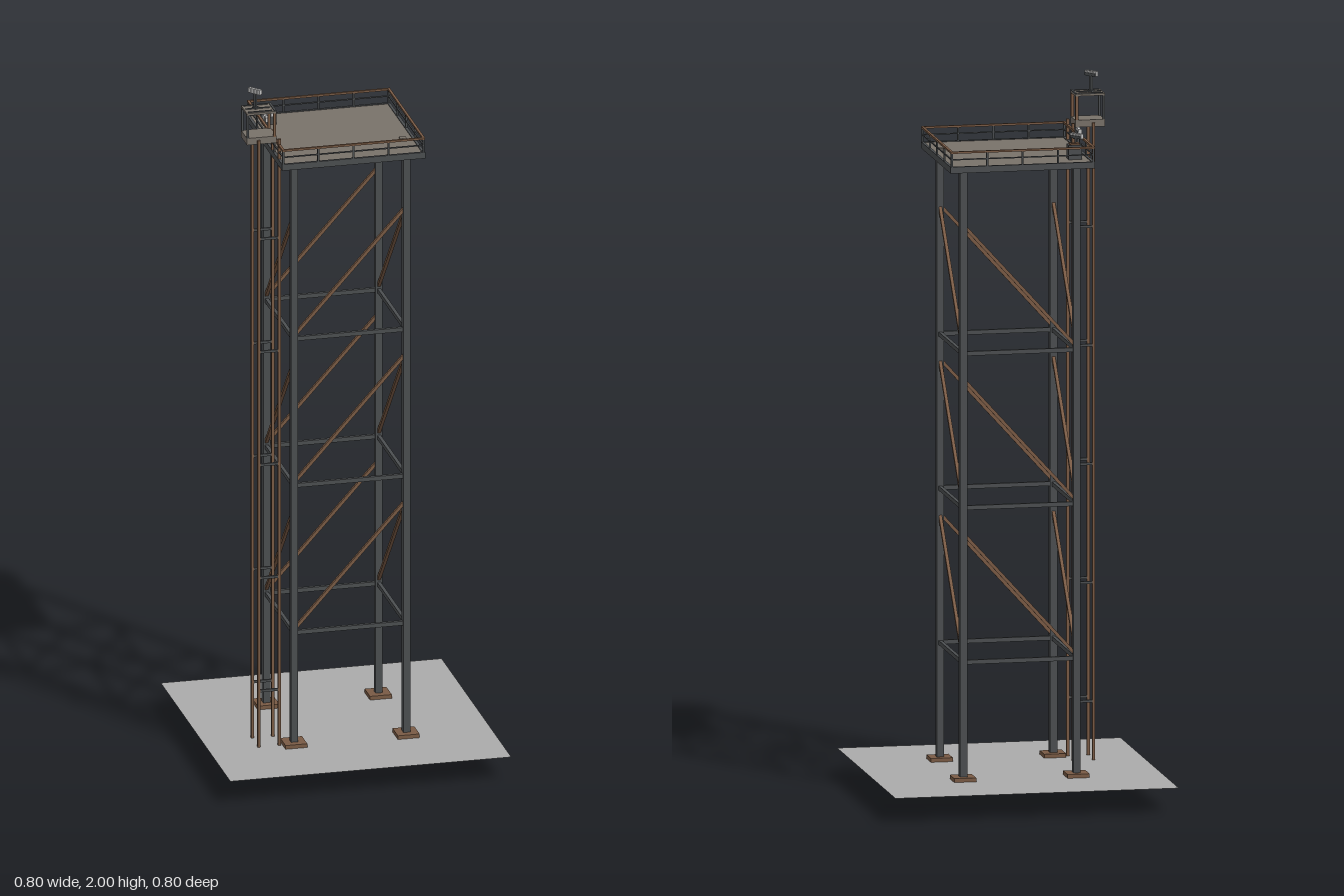
import * as THREE from 'three';

const paint = (name, color, extra = {}) => {
  const m = new THREE.MeshStandardMaterial({ color, ...extra });
  m.name = name;
  return m;
};

export function createModel() {
  const steel = paint('dark steel', 0x4c4f51);
  const rust = paint('rust', 0x7a5b45);
  const plate = paint('deck plate', 0x79726a);
  const pale = paint('pale metal', 0xc4c4c4);
  const concrete = paint('concrete', 0xababab, { side: THREE.DoubleSide });

  const model = new THREE.Group();
  model.name = 'tower';

  // Box by centre and size
  function box(name, mat, x, y, z, w, h, d, parent = model) {
    const m = new THREE.Mesh(new THREE.BoxGeometry(w, h, d), mat);
    m.position.set(x, y, z);
    m.name = name;
    parent.add(m);
    return m;
  }

  // Square bar between two points
  function bar(name, mat, a, b, t, parent = model) {
    const p = new THREE.Vector3(...a), q = new THREE.Vector3(...b);
    const m = box(name, mat, 0, 0, 0, t, t, p.distanceTo(q), parent);
    m.position.copy(p).add(q).multiplyScalar(0.5);
    m.lookAt(q);
    return m;
  }

  // Ground sheet
  const ground = new THREE.Mesh(new THREE.PlaneGeometry(0.8, 0.8), concrete);
  ground.rotation.x = -Math.PI / 2;
  ground.position.y = 0.07;
  ground.name = 'ground';
  model.add(ground);

  // Legs and footplates
  const L = 0.16;
  for (const x of [-L, L]) for (const z of [-L, L]) {
    box('footplate', rust, x, 0.073, z, 0.062, 0.016, 0.062);
    box('leg', steel, x, 0.925, z, 0.02, 1.724, 0.02);
  }

  // Horizontal girts and diagonal braces on all four sides
  for (const y of [0.402, 0.836, 1.269]) {
    for (const s of [-L, L]) {
      box('girtAcross', steel, 0, y, s, 0.32, 0.012, 0.01);
      box('girtAlong', steel, s, y, 0, 0.01, 0.012, 0.32);
      bar('braceAcross', rust, [-L, y + 0.008, s], [L, y + 0.362, s], 0.009);
      bar('braceAlong', rust, [s, y + 0.008, -L], [s, y + 0.362, L], 0.009);
    }
  }

  // Deck with edge beams
  const E = 0.2;
  box('deck', plate, 0, 1.796, 0, 0.4, 0.008, 0.4);
  box('deckUnderside', steel, 0, 1.789, 0, 0.398, 0.006, 0.398);
  for (const s of [-E, E]) {
    box('edgeBeamAcross', steel, 0, 1.793, s, 0.408, 0.018, 0.008);
    box('edgeBeamAlong', steel, s, 1.793, 0, 0.008, 0.018, 0.408);
  }

  // Guard rails and posts
  for (const s of [-E, E]) {
    for (const [y, t, mat] of [[1.842, 0.007, rust], [1.822, 0.004, steel]]) {
      box('railAcross', mat, 0, y, s, 0.4 + t, t * 0.8, t);
      box('railAlong', mat, s, y, 0, t, t * 0.8, 0.4 + t);
    }
    for (let i = 0; i < 5; i++) {
      const p = -E + i * 0.1;
      box('railPost', steel, p, 1.82, s, 0.005, 0.042, 0.005);
      if (i > 0 && i < 4) box('railPost', steel, s, 1.82, p, 0.005, 0.042, 0.005);
    }
  }

  // Equipment box and hatch on the deck
  box('equipmentBox', steel, -0.16, 1.82, -0.131, 0.038, 0.04, 0.032);
  box('equipmentLid', rust, -0.16, 1.842, -0.131, 0.027, 0.004, 0.02);
  box('hatch', plate, 0.17, 1.802, 0.082, 0.018, 0.005, 0.018);

  // Floodlight: foot, pole and a row of lamps; angle turns the row
  function floodlight(x, y, z, angle) {
    const g = new THREE.Group();
    g.name = 'floodlight';
    g.position.set(x, y, z);
    g.rotation.y = angle;
    box('lightFoot', steel, 0, 0.003, 0, 0.014, 0.006, 0.014, g);
    box('lightPole', steel, 0, 0.027, 0, 0.007, 0.054, 0.007, g);
    box('lampBar', steel, 0, 0.05, -0.003, 0.038, 0.008, 0.005, g);
    for (let i = -1.5; i < 2; i++) {
      box('lamp', pale, i * 0.0105, 0.053, 0.002, 0.009, 0.014, 0.01, g);
    }
    model.add(g);
  }
  floodlight(-0.178, 1.8, -0.072, -0.95);
  floodlight(-0.193, 1.805, -0.022, -Math.PI / 2);
  floodlight(-0.258, 1.94, 0.115, -0.9);

  // Hoist guides with ties
  for (const z of [0.08, 0.154]) {
    for (const x of [-0.258, -0.2]) box('hoistGuide', rust, x, 0.93, z, 0.008, 1.86, 0.008);
    for (let i = 0; i < 5; i++) {
      box('guideTie', steel, -0.229, 0.235 + i * 0.3335, z, 0.066, 0.007, 0.006);
    }
  }

  // Hoist cage
  const cx = -0.249, cz = 0.117;
  box('cageFloor', plate, cx, 1.858, cz, 0.084, 0.02, 0.068);
  box('cageRoof', plate, cx, 1.938, cz, 0.084, 0.006, 0.068);
  for (const z of [-1, 1]) {
    box('cagePost', steel, cx - 0.039, 1.9, cz + z * 0.031, 0.006, 0.074, 0.006);
    box('cagePost', rust, cx + 0.037, 1.9, cz + z * 0.031, 0.008, 0.074, 0.006);
  }
  for (const z of [-0.027, 0, 0.027]) {
    box('roofRib', steel, cx - 0.003, 1.942, cz + z, 0.068, 0.003, 0.004);
  }
  box('roofBeam', steel, cx + 0.039, 1.942, cz, 0.006, 0.003, 0.066);

  return model;
}
